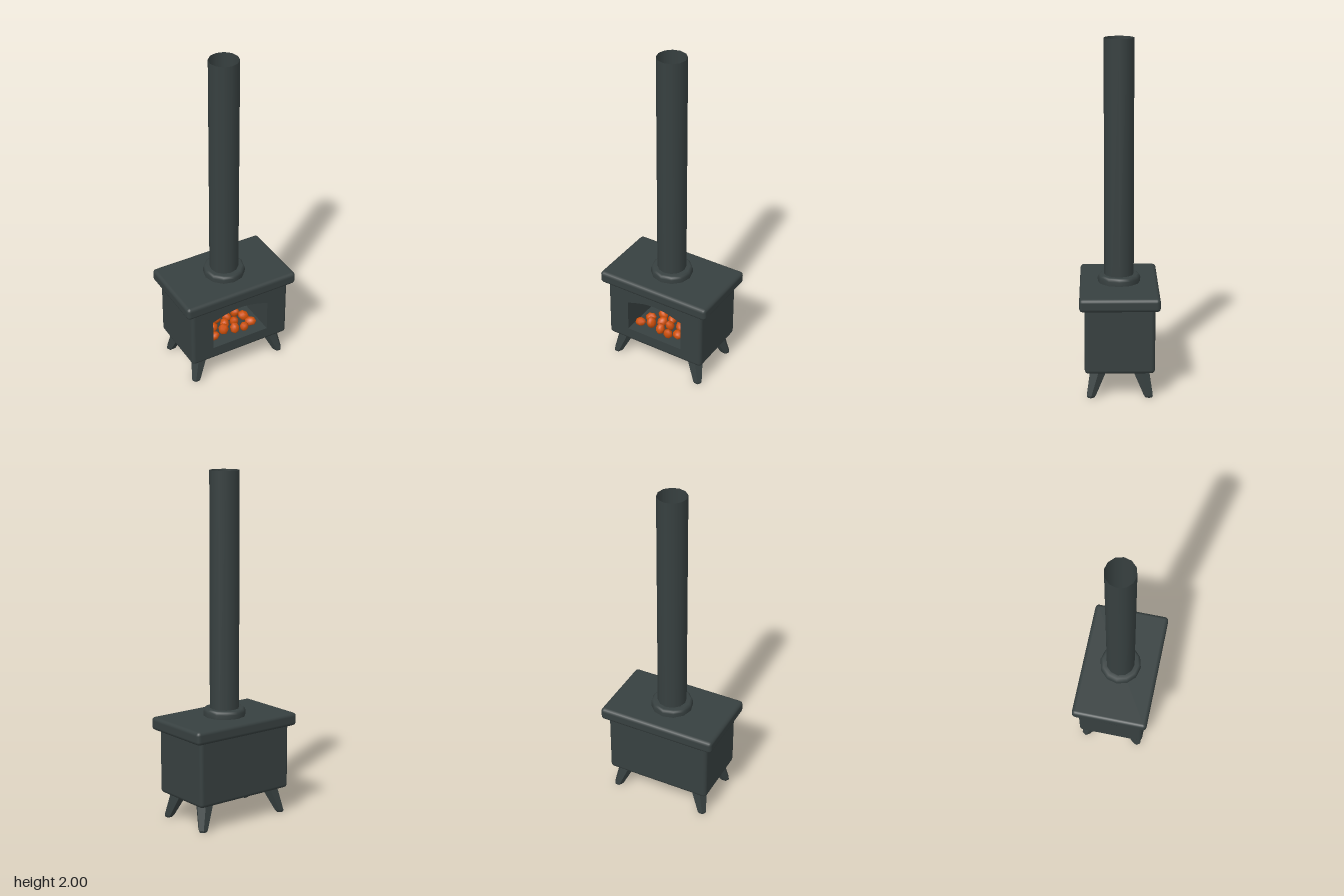
import * as THREE from 'three';
import { RoundedBoxGeometry } from 'three/addons/geometries/RoundedBoxGeometry.js';
import { toCreasedNormals } from 'three/addons/utils/BufferGeometryUtils.js';

const iron = new THREE.MeshStandardMaterial({ color: 0x374040, side: THREE.DoubleSide });
iron.name = 'castIron';
const ember = new THREE.MeshStandardMaterial({ color: 0xd0500a });
ember.name = 'emberOrange';

function add(parent, name, geometry, material = iron) {
  const mesh = new THREE.Mesh(geometry, material);
  mesh.name = name;
  parent.add(mesh);
  return mesh;
}

// Outline of the arched firebox mouth
function archOutline() {
  const pts = [new THREE.Vector2(-0.183, 0.23), new THREE.Vector2(0.183, 0.23)];
  for (let i = 0; i <= 10; i++) {
    const t = 1 - i / 5;
    pts.push(new THREE.Vector2(0.183 * t, 0.425 + 0.04 * Math.cos(t * Math.PI / 2)));
  }
  return pts;
}

// Rounded box with its flat front removed, to take the pierced front plate
function openFrontBox(w, h, d, r) {
  const box = new RoundedBoxGeometry(w, h, d, 2, r);
  const geo = box.index ? box.toNonIndexed() : box;
  const p = geo.attributes.position, n = geo.attributes.normal;
  const pos = [], nor = [];
  for (let i = 0; i < p.count; i += 3) {
    if ([0, 1, 2].every(k => p.getZ(i + k) > d / 2 - 1e-4)) continue;
    for (let k = i; k < i + 3; k++) {
      pos.push(p.getX(k), p.getY(k), p.getZ(k));
      nor.push(n.getX(k), n.getY(k), n.getZ(k));
    }
  }
  const out = new THREE.BufferGeometry();
  out.setAttribute('position', new THREE.Float32BufferAttribute(pos, 3));
  out.setAttribute('normal', new THREE.Float32BufferAttribute(nor, 3));
  return out;
}

// Walls joining the mouth outline to the back of the firebox
function mouthWalls(outline, zFront, zBack) {
  const pos = [];
  outline.forEach((a, i) => {
    const b = outline[(i + 1) % outline.length];
    pos.push(a.x, a.y, zFront, b.x, b.y, zBack, b.x, b.y, zFront);
    pos.push(a.x, a.y, zFront, a.x, a.y, zBack, b.x, b.y, zBack);
  });
  const geo = new THREE.BufferGeometry();
  geo.setAttribute('position', new THREE.Float32BufferAttribute(pos, 3));
  return toCreasedNormals(geo, 0.6);
}

// Tapered six-sided leg, splayed outwards towards the foot
function legGeometry(sx, sz) {
  const profile = [[0, 0], [0.022, 0], [0.029, 0.012], [0.054, 0.16]].map(p => new THREE.Vector2(...p));
  const geo = new THREE.LatheGeometry(profile, 6, Math.PI / 6).toNonIndexed();
  const p = geo.attributes.position;
  for (let i = 0; i < p.count; i++) {
    const t = p.getY(i) / 0.16;
    p.setX(i, p.getX(i) + sx * (0.284 - 0.05 * t));
    p.setZ(i, p.getZ(i) + sz * (0.165 - 0.048 * t));
  }
  geo.computeVertexNormals();
  return geo;
}

export function createModel() {
  const stove = new THREE.Group();
  stove.name = 'woodStove';
  const outline = archOutline();

  // Body and firebox
  const body = new THREE.Group();
  body.name = 'stoveBody';
  stove.add(body);
  const r = 0.022, top = 0.58, bottom = 0.148;
  add(body, 'bodyShell', openFrontBox(0.64, top - bottom, 0.396, r)).position.y = (top + bottom) / 2;
  const plate = new THREE.Shape();
  plate.moveTo(-0.32 + r, bottom + r).lineTo(0.32 - r, bottom + r);
  plate.lineTo(0.32 - r, top - r).lineTo(-0.32 + r, top - r).closePath();
  plate.holes.push(new THREE.Path(outline));
  add(body, 'frontPlate', new THREE.ShapeGeometry(plate)).position.z = 0.198;
  add(body, 'fireboxWalls', mouthWalls(outline, 0.198, -0.08));
  add(body, 'fireboxBack', new THREE.ShapeGeometry(new THREE.Shape(outline))).position.z = -0.08;

  // Top slab
  add(stove, 'topSlab', new RoundedBoxGeometry(0.718, 0.076, 0.452, 2, 0.021)).position.y = 0.562;

  // Flue collar and open flue pipe
  const collar = [[0.122, 0.595], [0.123, 0.625], [0.118, 0.639], [0.108, 0.645], [0.083, 0.645]];
  add(stove, 'flueCollar', new THREE.LatheGeometry(collar.map(p => new THREE.Vector2(...p)), 12));
  add(stove, 'fluePipe', new THREE.CylinderGeometry(0.085, 0.085, 1.39, 12, 1, true)).position.y = 1.305;
  const floor = add(stove, 'flueFloor', new THREE.CircleGeometry(0.085, 12));
  floor.rotation.x = -Math.PI / 2;
  floor.position.y = 0.612;

  // Legs
  for (const sx of [-1, 1]) for (const sz of [-1, 1]) {
    add(stove, (sz > 0 ? 'front' : 'back') + (sx > 0 ? 'Left' : 'Right') + 'Leg', legGeometry(sx, sz));
  }

  // Glowing coals: x, y, z, size, tilt
  const coals = new THREE.Group();
  coals.name = 'coals';
  stove.add(coals);
  const coalGeo = new THREE.SphereGeometry(1, 7, 5);
  [
    [-0.14, 0.255, 0.13, 0.028, 0.3], [-0.07, 0.272, 0.12, 0.032, 1.5], [0.0, 0.26, 0.13, 0.029, 0.9],
    [0.06, 0.254, 0.14, 0.028, 1.3], [0.115, 0.258, 0.12, 0.029, -0.4], [-0.11, 0.255, 0.06, 0.028, 0.1],
    [-0.03, 0.255, 0.06, 0.029, 0.6], [0.03, 0.256, 0.07, 0.028, -0.5], [0.1, 0.265, 0.06, 0.03, 0.4],
    [-0.06, 0.255, 0.0, 0.028, 0.2], [0.01, 0.256, 0.01, 0.028, 1.0], [0.075, 0.256, 0.0, 0.028, -0.2],
  ].forEach(([x, y, z, s, tilt], i) => {
    const coal = add(coals, 'coal' + (i + 1), coalGeo, ember);
    coal.position.set(x, y, z);
    coal.scale.set(s * 1.25, s * 0.9, s);
    coal.rotation.set(0.2 * i, 0.7 * i, tilt);
  });
  return stove;
}
